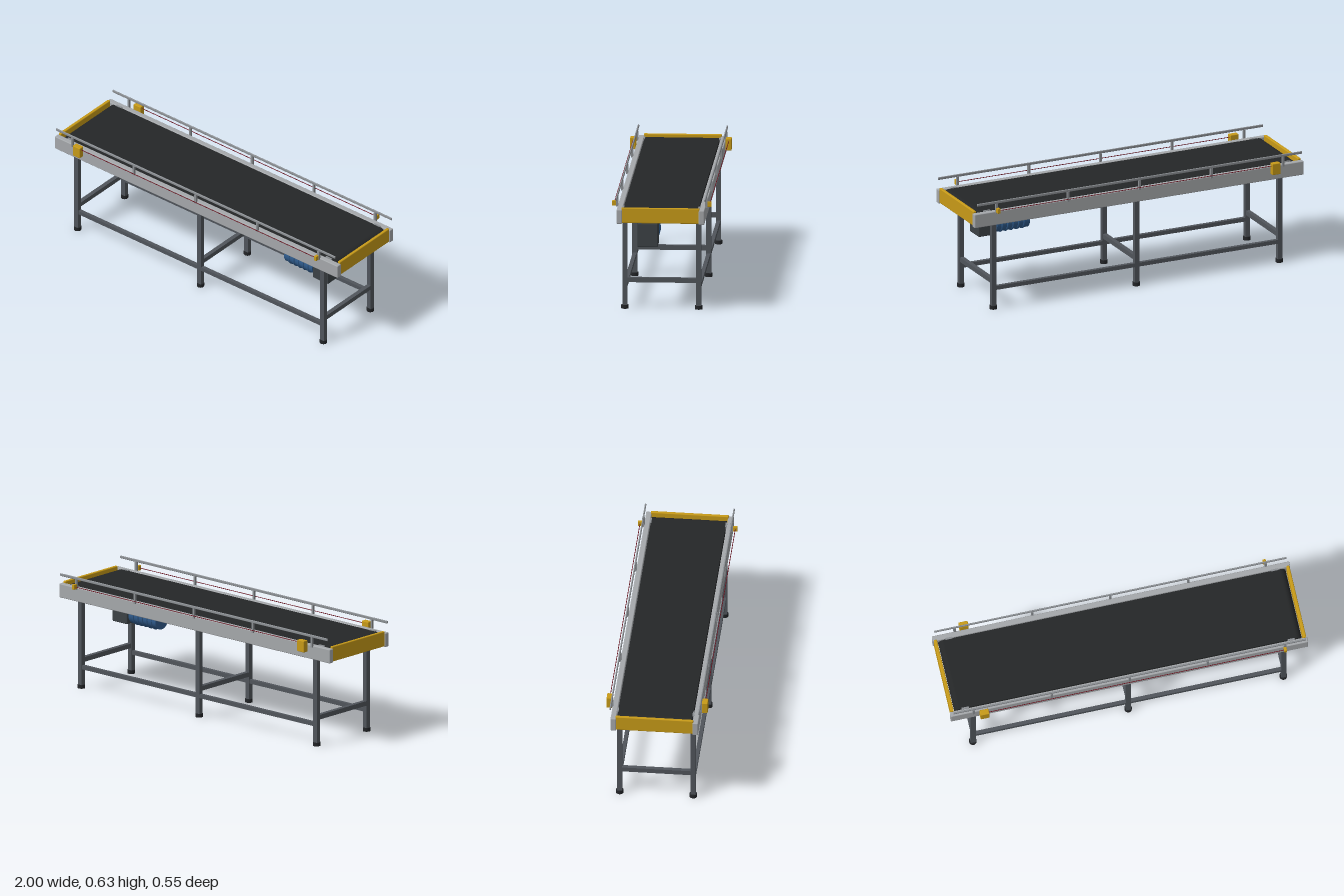
import * as THREE from 'three';
import { RoundedBoxGeometry } from 'three/addons/geometries/RoundedBoxGeometry.js';

const mat = (color) => new THREE.MeshStandardMaterial({ color });

export function createModel() {
  const model = new THREE.Group();
  model.name = 'beltConveyor';
  const M = {
    rail: mat(0xa5a8ab), guard: mat(0x8c9094), leg: mat(0x50555b), foot: mat(0x222427),
    belt: mat(0x242627), seam: mat(0x3a3d40), yellow: mat(0xc79a18), blue: mat(0x2f5b8c),
    dark: mat(0x3c4246), beam: mat(0x6a1420),
  };

  const add = (name, geometry, material, x, y, z) => {
    const mesh = new THREE.Mesh(geometry, material);
    mesh.name = name;
    mesh.position.set(x, y, z);
    model.add(mesh);
    return mesh;
  };
  // Box given by its extents, with optional rounded edges
  const box = (name, material, [x0, x1], [y0, y1], [z0, z1], r = 0) => {
    const s = [x1 - x0, y1 - y0, z1 - z0];
    const g = r ? new RoundedBoxGeometry(...s, 3, r) : new THREE.BoxGeometry(...s);
    return add(name, g, material, (x0 + x1) / 2, (y0 + y1) / 2, (z0 + z1) / 2);
  };
  // Cylinder lying along x
  const rodX = (name, material, r, x0, x1, y, z, sides = 32) =>
    add(name, new THREE.CylinderGeometry(r, r, x1 - x0, sides).rotateZ(Math.PI / 2),
      material, (x0 + x1) / 2, y, z);
  // Extents running outwards on either side of the middle
  const span = (side, a, b) => (side > 0 ? [a, b] : [-b, -a]);
  const around = (c, w) => [c - w / 2, c + w / 2];

  // Belt loop wrapped round the two end drums
  const r = 0.033, e = 0.937;
  const loop = new THREE.Shape();
  loop.moveTo(-e, -r);
  loop.lineTo(e, -r);
  loop.absarc(e, 0, r, -Math.PI / 2, Math.PI / 2, false);
  loop.lineTo(-e, r);
  loop.absarc(-e, 0, r, Math.PI / 2, Math.PI * 1.5, false);
  const beltGeo = new THREE.ExtrudeGeometry(loop, { depth: 0.41, bevelEnabled: false, curveSegments: 16 });
  add('belt', beltGeo, M.belt, 0, 0.54, -0.205);
  for (const x of [-0.44, 0, 0.44])
    box('beltSupportBar', M.seam, around(x, 0.008), [0.504, 0.51], [-0.205, 0.205]);

  // Yellow end guards
  for (const s of [-1, 1])
    box('endGuard', M.yellow, span(s, 0.975, 0.993), [0.499, 0.584], [-0.213, 0.213], 0.005);

  const legXs = [-0.867, 0, 0.867];
  for (const s of [-1, 1]) {
    // Side frame, with bearing plates at the drums
    box('sideFrame', M.rail, [-0.998, 0.998], [0.495, 0.574], span(s, 0.209, 0.24), 0.005);
    for (const x of [-0.91, 0.91])
      box('bearingPlate', M.guard, around(x, 0.04), [0.515, 0.577], span(s, 0.202, 0.212));

    // Legs, feet and the long lower stretcher
    for (const x of legXs) {
      box('leg', M.leg, around(x, 0.027), [0.018, 0.496], span(s, 0.188, 0.215));
      add('foot', new THREE.CylinderGeometry(0.0205, 0.0205, 0.02, 24), M.foot, x, 0.01, s * 0.2015);
    }
    box('longStretcher', M.leg, [-0.867, 0.867], [0.109, 0.131], span(s, 0.191, 0.212));

    // Guard rail on posts
    box('guardRail', M.guard, [-0.985, 0.985], [0.62, 0.635], span(s, 0.2385, 0.2465), 0.0035);
    for (const x of [-0.87, -0.435, 0, 0.435, 0.867])
      box('guardPost', M.guard, around(x, 0.012), [0.565, 0.622], span(s, 0.236, 0.249));

    // Light barrier: sensor, its beam and the small receiver
    box('sensor', M.yellow, around(-0.815, 0.05), [0.535, 0.6], span(s, 0.245, 0.277), 0.004);
    box('receiver', M.yellow, around(0.865, 0.016), [0.57, 0.598], span(s, 0.249, 0.272), 0.002);
    rodX('lightBeam', M.beam, 0.002, -0.79, 0.858, 0.584, s * 0.261, 8);
  }

  // Cross braces between the leg pairs
  for (const x of legXs)
    box('crossBrace', M.leg, around(x, 0.024), [0.147, 0.173], [-0.19, 0.19]);

  // Drive: finned motor, terminal box and gearbox
  const my = 0.387, mz = 0.08;
  rodX('motorBody', M.blue, 0.052, 0.532, 0.73, my, mz, 40);
  for (let i = 0; i < 5; i++) {
    const fin = new THREE.TorusGeometry(0.05, 0.007, 10, 40).rotateY(Math.PI / 2);
    add('motorFin', fin, M.blue, 0.565 + i * 0.033, my, mz);
  }
  rodX('driveShaft', M.dark, 0.02, 0.72, 0.75, my, mz);
  box('terminalBox', M.dark, [0.595, 0.67], [0.43, 0.48], [0.047, 0.113], 0.003);
  box('gearbox', M.dark, [0.737, 0.845], [0.336, 0.467], [0.024, 0.136], 0.005);

  return model;
}
